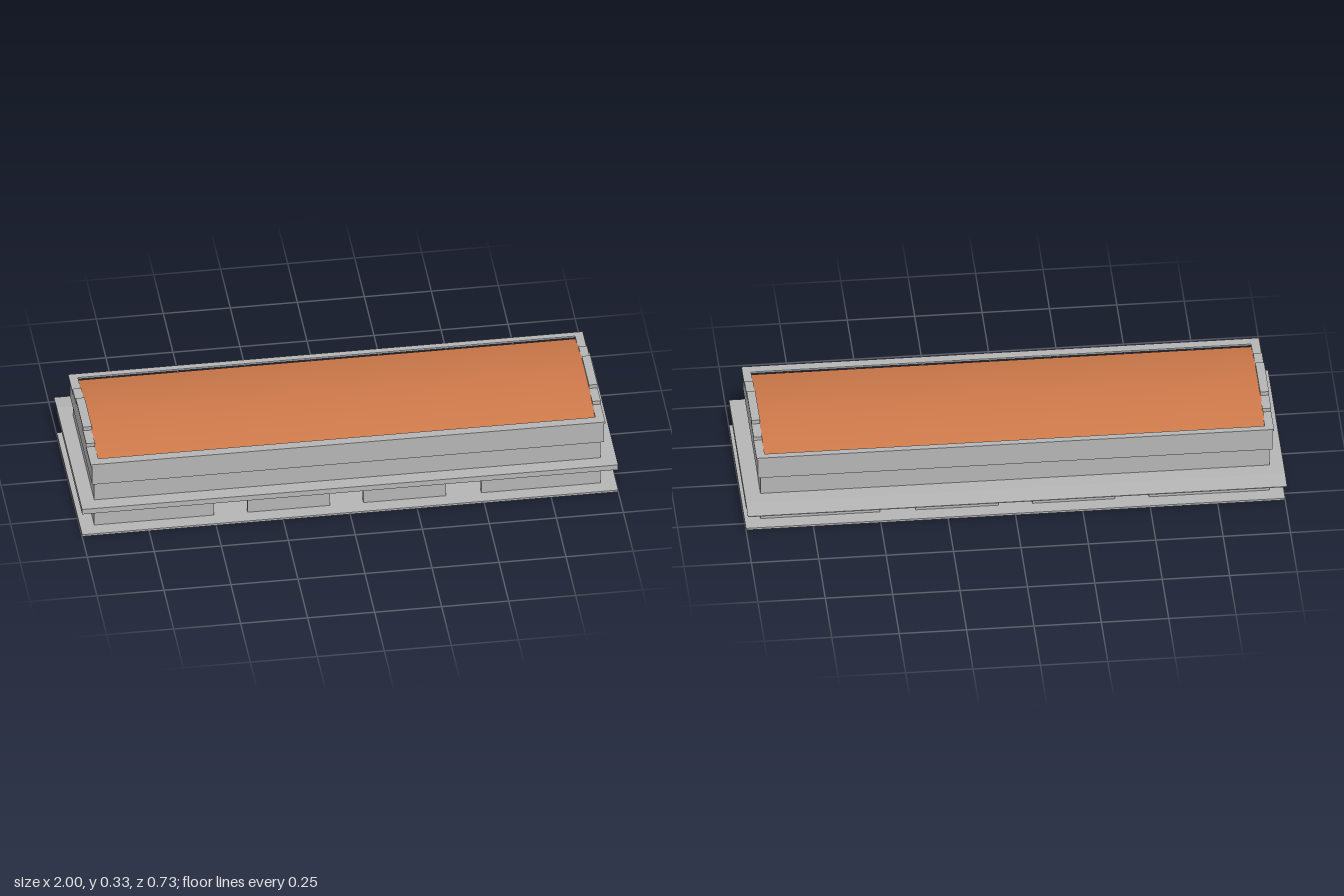
import * as THREE from 'three';

const concrete = new THREE.MeshStandardMaterial({ color: 0xb4b4b4 });
concrete.name = 'concrete grey';
const roofPaint = new THREE.MeshStandardMaterial({ color: 0xcc7849, side: THREE.DoubleSide });
roofPaint.name = 'roof orange';
const glass = new THREE.MeshStandardMaterial({ color: 0xd0ae3c });
glass.name = 'window yellow';

// Building centre lines
const CX = -0.003, CZ = 0.0385;

export function createModel() {
  const model = new THREE.Group();
  model.name = 'stationHall';

  const add = (name, geometry, material = concrete) => {
    const mesh = new THREE.Mesh(geometry, material);
    mesh.name = name;
    model.add(mesh);
    return mesh;
  };

  // Box given by its limits on each axis
  const box = (name, x0, x1, y0, y1, z0, z1, material) => {
    const mesh = add(name, new THREE.BoxGeometry(x1 - x0, y1 - y0, z1 - z0), material);
    mesh.position.set((x0 + x1) / 2, (y0 + y1) / 2, (z0 + z1) / 2);
    return mesh;
  };

  // Rectangular frame, open in the middle
  const ring = (name, outer, inner, y0, y1) => {
    const rect = (P, [x0, x1, z0, z1]) => new P([[x0, -z0], [x1, -z0], [x1, -z1], [x0, -z1]]
      .map(p => new THREE.Vector2(...p)));
    const shape = rect(THREE.Shape, outer);
    shape.holes.push(rect(THREE.Path, inner));
    const geometry = new THREE.ExtrudeGeometry(shape, { depth: y1 - y0, bevelEnabled: false });
    geometry.rotateX(-Math.PI / 2).translate(0, y0, 0);
    return add(name, geometry);
  };

  // Profile in z and y, extruded along x
  const crossSection = (name, points, x0, x1, material) => {
    const shape = new THREE.Shape(points.map(p => new THREE.Vector2(...p)));
    const geometry = new THREE.ExtrudeGeometry(shape, { depth: x1 - x0, bevelEnabled: false });
    geometry.rotateY(-Math.PI / 2).translate(x1, 0, 0);
    return add(name, geometry, material);
  };

  // Base slab
  box('baseSlab', -1, 1, 0, 0.008, -0.292, 0.367);

  // Ground floor: pierced long walls and closed ends
  const wx0 = -0.947, wx1 = 0.941, wz0 = -0.235, wz1 = 0.312, t = 0.02;
  const segments = [[wx0, -0.5], [-0.375, -0.068], [0.057, 0.365], [0.497, wx1]];
  for (const [a, b] of segments) {
    box('groundWallFront', a, b, 0.008, 0.1, wz1 - t, wz1);
    box('groundWallBack', a, b, 0.008, 0.1, wz0, wz0 + t);
  }
  box('groundWallRight', wx0, wx0 + t, 0.008, 0.1, wz0 + t, wz1 - t);
  box('groundWallLeft', wx1 - t, wx1, 0.008, 0.1, wz0 + t, wz1 - t);

  // Projecting canopy around the hall and sloping awning behind it
  const inside = [wx0 + t, wx1 - t, wz0 + t, wz1 - t];
  ring('canopy', [-1, 1, -0.293, 0.367], inside, 0.1, 0.122);
  crossSection('backAwning', [[-0.367, 0.112], [-0.293, 0.119], [-0.293, 0.122], [-0.367, 0.115]], -1, 1);

  // Upper floor
  ring('upperWalls', [wx0, wx1, wz0, wz1], inside, 0.122, 0.203);

  // Parapet along the long sides
  const px0 = -0.957, px1 = 0.952, pz0 = -0.25, pz1 = 0.328;
  ring('parapet', [px0, px1, pz0, pz1], [-0.93, 0.925, -0.228, 0.295], 0.203, 0.288);
  box('copingFront', -0.963, 0.957, 0.288, 0.295, 0.295, 0.331);
  box('copingBack', -0.963, 0.957, 0.288, 0.295, -0.253, -0.228);

  // Stepped gables with a coping that follows the steps
  const steps = (rows) => {
    const half = rows.flatMap(([d, y0, y1]) => [[d, y0], [d, y1]]);
    return [
      ...half.map(([d, y]) => [CZ + d, y]),
      ...half.slice().reverse().map(([d, y]) => [CZ - d, y]),
    ];
  };
  const core = steps([[0.17, 0.288, 0.302], [0.086, 0.302, 0.319]]);
  const copingOuter = steps([[0.2915, 0.288, 0.295], [0.177, 0.295, 0.31], [0.0935, 0.31, 0.326]]);
  for (const [side, a, b] of [['Right', px0, -0.93], ['Left', 0.925, px1]]) {
    crossSection('gable' + side, core, a, b);
    const out = side === 'Right' ? [a - 0.006, b] : [a, b + 0.005];
    crossSection('gableCoping' + side, [...copingOuter, ...core.slice().reverse()], ...out);
  }

  // Gently arched roof
  const roof = new THREE.PlaneGeometry(1.86, 0.525, 1, 24);
  roof.rotateX(-Math.PI / 2);
  const pos = roof.attributes.position;
  for (let i = 0; i < pos.count; i++) {
    pos.setY(i, 0.318 - 0.52 * pos.getZ(i) ** 2);
  }
  roof.translate(CX, 0, CZ - 0.005);
  roof.computeVertexNormals();
  add('archedRoof', roof, roofPaint);

  // Chequered window on the left end
  const rows = [[0.185, 0.202], [0.166, 0.185], [0.148, 0.166]];
  const pane = 0.0137;
  rows.forEach(([y0, y1], r) => {
    for (let c = 0; c < 8; c++) {
      const z1 = 0.301 - c * pane;
      const lit = (c + r) % 2 === 1;
      box(lit ? 'windowPane' : 'windowPanel', wx1, wx1 + 0.003,
        y0 + 0.0005, y1 - 0.0005, z1 - pane + 0.0005, z1 - 0.0005, lit ? glass : concrete);
    }
  });

  return model;
}
